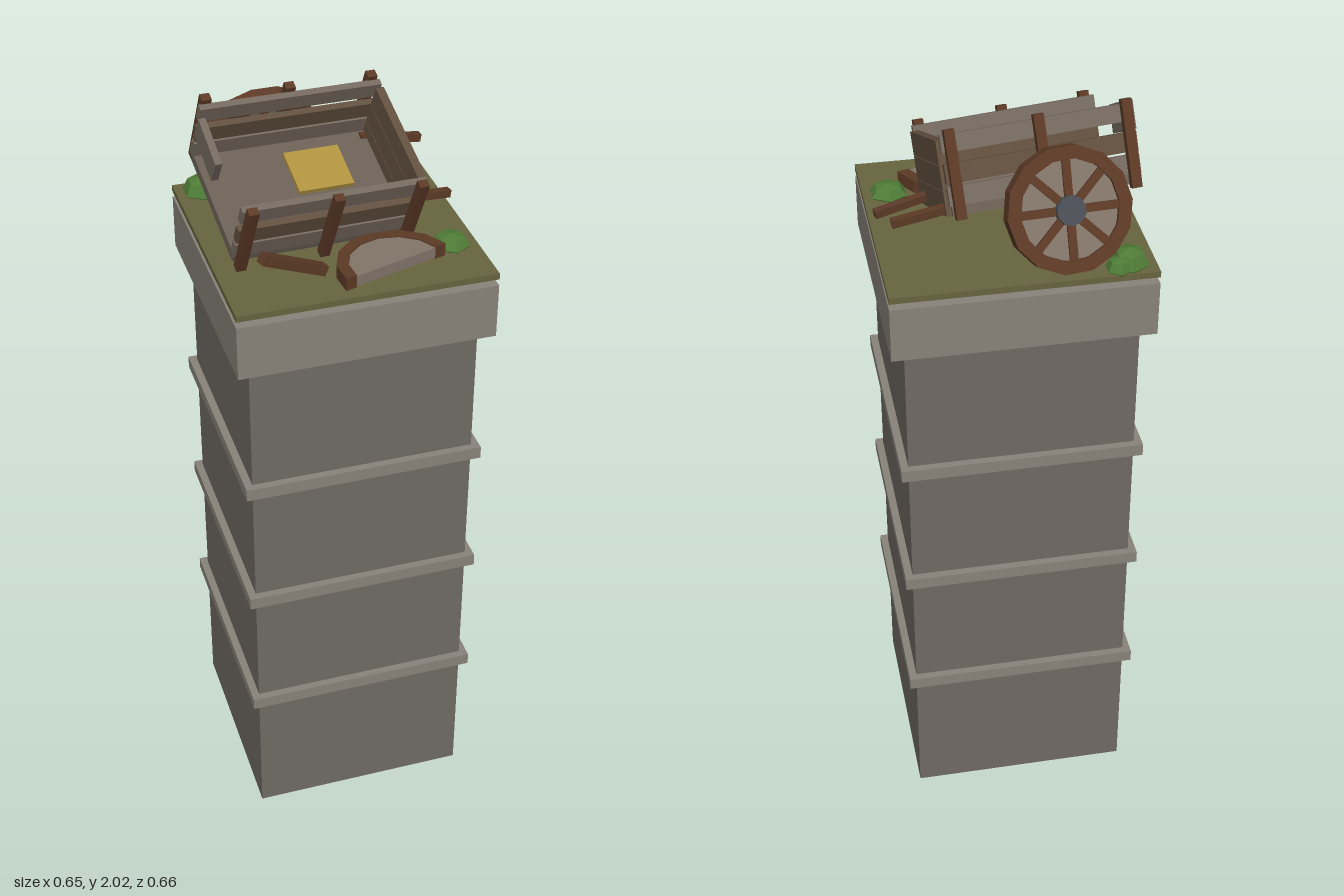
import * as THREE from 'three';

const mat = (color) => new THREE.MeshStandardMaterial({ color, flatShading: true });
const M = {
  stone: mat(0x6f6a63), trim: mat(0x88837a), grass: mat(0x68643f), brown: mat(0x5c3a26),
  plank: mat(0x62503f), grey: mat(0x756a5f), floor: mat(0x6a6055), disc: mat(0x83766a),
  iron: mat(0x4a4f55), straw: mat(0xb0923f), leaf: mat(0x4f7c36),
};

function add(parent, name, geometry, material, x = 0, y = 0, z = 0) {
  const mesh = new THREE.Mesh(geometry, material);
  mesh.name = name;
  mesh.position.set(x, y, z);
  parent.add(mesh);
  return mesh;
}
const box = (w, h, d) => new THREE.BoxGeometry(w, h, d);

// Square beam running between two points
function beam(parent, name, a, b, w, h, material) {
  const from = new THREE.Vector3(...a), to = new THREE.Vector3(...b);
  const mesh = add(parent, name, box(w, h, from.distanceTo(to)), material);
  mesh.position.copy(from).lerp(to, 0.5);
  mesh.lookAt(to);
  return mesh;
}

// Points on a faceted arc
const arc = (r, sweep, n) => Array.from({ length: n + 1 }, (_, i) =>
  new THREE.Vector2(r * Math.cos(sweep * i / n), r * Math.sin(sweep * i / n)));

function slice(shape, depth) {
  const g = new THREE.ExtrudeGeometry(shape, { depth, bevelEnabled: false });
  return g.translate(0, 0, -depth / 2);
}

// Wheel facing z: rim, inner disc, spokes and hub
function makeWheel() {
  const wheel = new THREE.Group();
  wheel.name = 'wheel';
  const rim = new THREE.Shape(arc(0.152, Math.PI * 2, 14).slice(0, -1));
  rim.holes.push(new THREE.Path(arc(0.12, Math.PI * 2, 14).slice(0, -1)));
  add(wheel, 'wheelRim', slice(rim, 0.045), M.brown);
  add(wheel, 'wheelDisc', new THREE.CylinderGeometry(0.122, 0.122, 0.022, 14).rotateX(Math.PI / 2), M.disc);
  for (let i = 0; i < 8; i++) {
    const a = i * Math.PI / 4 + 0.05;
    const spoke = add(wheel, 'wheelSpoke', box(0.1, 0.02, 0.038), M.brown, 0.075 * Math.cos(a), 0.075 * Math.sin(a), 0);
    spoke.rotation.z = a;
  }
  add(wheel, 'wheelHub', new THREE.CylinderGeometry(0.036, 0.036, 0.065, 10).rotateX(Math.PI / 2), M.iron);
  return wheel;
}

// Cart in its own upright frame: long side along x, underside of the floor at y = 0
function makeCart() {
  const cart = new THREE.Group();
  cart.name = 'cart';
  add(cart, 'cartFloor', box(0.46, 0.025, 0.32), M.floor, 0, 0.0125, 0);
  add(cart, 'strawPatch', box(0.145, 0.012, 0.125), M.straw, 0.06, 0.031, -0.045);
  add(cart, 'axle', box(0.03, 0.03, 0.36), M.brown, -0.03, -0.016, -0.05);

  // Side walls of three planks and three posts
  for (const side of [-1, 1]) {
    [[0.047, 0.046, M.grey], [0.1, 0.046, M.plank], [0.17, 0.042, M.grey]].forEach(([y, h, m]) =>
      add(cart, 'sidePlank', box(0.47, h, 0.018), m, 0, y, side * 0.158));
    for (const x of [-0.215, 0, 0.215])
      add(cart, 'sidePost', box(0.025, 0.21, 0.022), M.brown, x, 0.098, side * 0.177);
  }

  // Closed end wall
  for (let i = 0; i < 3; i++)
    add(cart, 'endPlank', box(0.022, 0.058, 0.3), M.plank, 0.232, 0.03 + i * 0.06, 0);

  const wheel = makeWheel();
  wheel.position.set(-0.03, -0.022, -0.222);
  cart.add(wheel);

  cart.position.set(-0.065, 1.75, -0.04);
  cart.rotation.set(0.4, 0.08, -0.045, 'YXZ');
  return cart;
}

export function createModel() {
  const model = new THREE.Group();
  model.name = 'pillarWithBrokenCart';

  // Pillar
  add(model, 'pillarShaft', box(0.58, 1.5, 0.58), M.stone, 0, 0.75, 0);
  for (const y of [0.402, 0.766, 1.127])
    add(model, 'pillarBand', box(0.62, 0.033, 0.62), M.trim, 0, y, 0);
  add(model, 'pillarCap', box(0.65, 0.144, 0.65), M.trim, 0, 1.564, 0);
  add(model, 'grassSlab', box(0.65, 0.016, 0.65), M.grass, 0, 1.661, 0);

  model.add(makeCart());

  // Pulling shafts, broken short
  beam(model, 'backShaft', [0.13, 1.812, -0.173], [0.295, 1.785, -0.183], 0.02, 0.02, M.brown);
  beam(model, 'frontShaft', [0.15, 1.738, 0.027], [0.315, 1.713, -0.01], 0.02, 0.02, M.brown);

  // Loose board hanging at the open end
  const board = add(model, 'looseBoard', box(0.018, 0.07, 0.13), M.grey, -0.295, 1.922, -0.017);
  board.rotation.set(0.54, 0.1, 0, 'YXZ');

  // Fallen beam
  beam(model, 'fallenBeam', [-0.24, 1.765, 0.247], [-0.075, 1.68, 0.2], 0.028, 0.026, M.brown);

  // Half of the second wheel, lying flat
  const half = new THREE.Group();
  half.name = 'brokenWheel';
  const rim = new THREE.Shape([...arc(0.145, Math.PI, 7), ...arc(0.115, Math.PI, 7).reverse()]);
  add(half, 'brokenRim', slice(rim, 0.034).rotateX(-Math.PI / 2), M.brown);
  add(half, 'brokenDisc', slice(new THREE.Shape(arc(0.116, Math.PI, 7)), 0.028).rotateX(-Math.PI / 2), M.disc);
  half.position.set(0.09, 1.686, 0.25);
  half.rotation.y = 0.3;
  model.add(half);

  // Low bushes
  for (const [x, z, r, h] of [[-0.26, -0.273, 0.05, 0.042], [-0.23, -0.295, 0.034, 0.03], [0.26, 0.16, 0.05, 0.027]]) {
    const bush = add(model, 'bush', new THREE.SphereGeometry(1, 6, 4), M.leaf, x, 1.672, z);
    bush.geometry.rotateY(Math.PI / 6).scale(r, h, r);
  }
  return model;
}
